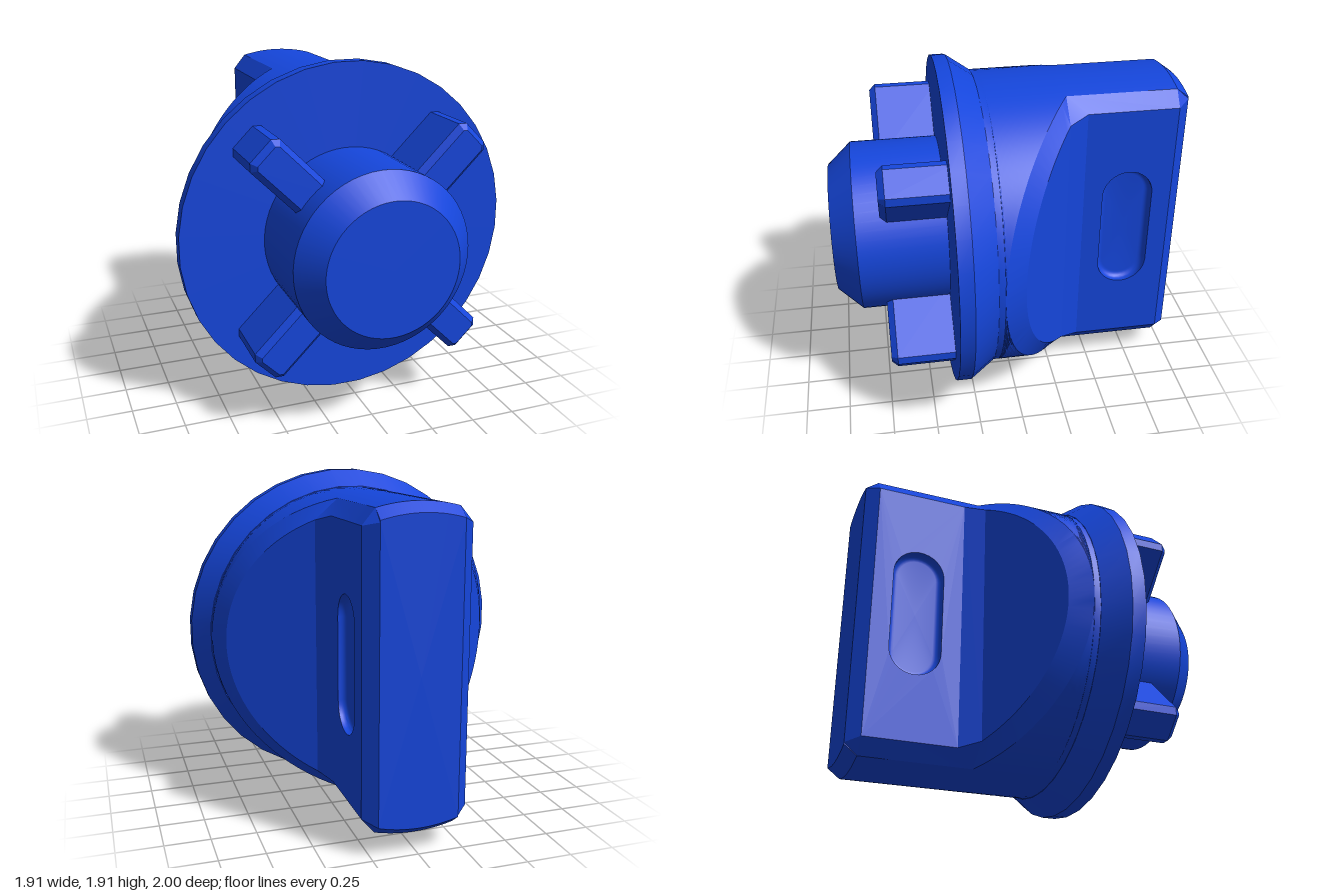
import * as THREE from 'three';
import { toCreasedNormals } from 'three/addons/utils/BufferGeometryUtils.js';

const material = new THREE.MeshStandardMaterial({ color: 0x1546dc });
const CENTRE_Y = 0.957;

function addMesh(parent, name, geometry) {
  const mesh = new THREE.Mesh(geometry, material);
  mesh.name = name;
  parent.add(mesh);
  return mesh;
}

// Skin over equal-length closed rings, with a fan on the last ring.
function loft(rings, skip = () => false) {
  const pos = [];
  const tri = (a, b, c) => {
    const area = b.clone().sub(a).cross(c.clone().sub(a)).length();
    if (area > 1e-7) for (const p of [a, b, c]) pos.push(p.x, p.y, p.z);
  };
  const n = rings[0].length;
  for (let i = 0; i < rings.length - 1; i++) {
    for (let j = 0; j < n; j++) {
      if (skip(i, j)) continue;
      const k = (j + 1) % n;
      const [a, b, c, d] = [rings[i][j], rings[i][k], rings[i + 1][j], rings[i + 1][k]];
      tri(a, c, b);
      tri(b, c, d);
    }
  }
  const last = rings[rings.length - 1];
  const mid = last.reduce((s, p) => s.add(p), new THREE.Vector3()).divideScalar(n);
  for (let j = 0; j < n; j++) tri(mid, last[(j + 1) % n], last[j]);
  const geometry = new THREE.BufferGeometry();
  geometry.setAttribute('position', new THREE.Float32BufferAttribute(pos, 3));
  return toCreasedNormals(geometry, 0.35);
}

// Turned part along z from [radius, z] points.
function turned(points, segments) {
  const lathe = new THREE.LatheGeometry(points.map(p => new THREE.Vector2(...p)), segments, Math.PI / segments);
  lathe.rotateX(Math.PI / 2);
  return toCreasedNormals(lathe, 0.35);
}

// Grip: a round body cut by two sloping sides that narrow to a flat handle.
const R = 0.862, RIM = 0.8, ARC = 28;

function gripRing(radius, xo, zo, xi, yi, zi) {
  const start = Math.acos(Math.min(1, xo / radius));
  const ring = [new THREE.Vector3(xi, -yi, zi), new THREE.Vector3(xi, yi, zi)];
  const arc = offset => {
    for (let k = 0; k <= ARC; k++) {
      const a = offset + start + (Math.PI - 2 * start) * k / ARC;
      ring.push(new THREE.Vector3(radius * Math.cos(a), radius * Math.sin(a), zo));
    }
  };
  arc(0);
  ring.push(new THREE.Vector3(-xi, yi, zi), new THREE.Vector3(-xi, -yi, zi));
  arc(Math.PI);
  return ring;
}

function gripGeometry() {
  const rings = [gripRing(R, R, 0.155, R, 0, 0.155)];
  const steps = 20;
  for (let i = 0; i <= steps; i++) {
    const outer = Math.acos(0.22 / R) * i / steps;
    const inner = Math.acos(0.35 / RIM) * i / steps;
    const xo = R * Math.cos(outer), xi = RIM * Math.cos(inner);
    const zo = THREE.MathUtils.mapLinear(xo, 0.22, R, -0.31, 0.12);
    const zi = THREE.MathUtils.mapLinear(xi, 0.35, RIM, -0.31, 0);
    rings.push(gripRing(R, xo, zo, xi, RIM * Math.sin(inner), zi));
  }
  rings.push(gripRing(R, 0.22, -0.31, 0.29, 0.75, -0.42));
  rings.push(gripRing(R, 0.22, -0.93, 0.29, 0.75, -0.93));
  rings.push(gripRing(0.81, 0.22, -1, 0.22, 0.77, -1));
  // The flat handle sides are left open for the panels with finger slots.
  const flat = rings.length - 3;
  return loft(rings, (i, j) => i === flat && (j === 0 || j === ARC + 3));
}

// Clockwise slot outline at a given inset and depth.
function slotRing(inset, depth) {
  const r = 0.145 - inset, straight = 0.23, ring = [];
  for (let half = 0; half < 2; half++) {
    for (let k = 0; k <= 16; k++) {
      const a = -Math.PI * (half + k / 16);
      const v = r * Math.sin(a) + (half ? straight : -straight);
      ring.push(new THREE.Vector3(0.675 + r * Math.cos(a), v, -depth));
    }
  }
  return ring;
}

function sidePanel() {
  const side = new THREE.Group();
  const outline = new THREE.Shape([[0.42, -0.75], [0.93, -0.75], [0.93, 0.75], [0.42, 0.75]]
    .map(p => new THREE.Vector2(...p)));
  const rim = slotRing(0, 0);
  outline.holes.push(new THREE.Path(rim.map(p => new THREE.Vector2(p.x, p.y))));
  const rings = [rim];
  for (let k = 0; k <= 6; k++) {
    const a = Math.PI / 2 * k / 6;
    rings.push(slotRing(0.035 * (1 - Math.cos(a)), 0.015 + 0.035 * Math.sin(a)));
  }
  const place = g => g.rotateY(Math.PI / 2).translate(0.29, 0, 0);
  addMesh(side, 'handleSide', place(new THREE.ShapeGeometry(outline)));
  addMesh(side, 'fingerSlot', place(loft(rings)));
  return side;
}

// Radial locking lug with a bevelled front and tip.
function lugGeometry() {
  const shape = new THREE.Shape([[0.4, -0.08], [0.795, -0.08], [0.81, -0.065], [0.81, 0.065], [0.795, 0.08], [0.4, 0.08]]
    .map(p => new THREE.Vector2(...p)));
  const geometry = new THREE.ExtrudeGeometry(shape, {
    depth: 0.36, bevelEnabled: true, bevelSize: 0.03, bevelThickness: 0.035, bevelSegments: 1,
  });
  return geometry.translate(0, 0, 0.335);
}

export function createModel() {
  const model = new THREE.Group();
  model.name = 'rotaryKnob';
  const knob = new THREE.Group();
  knob.name = 'knob';
  knob.position.y = CENTRE_Y;
  model.add(knob);

  addMesh(knob, 'grip', gripGeometry());
  for (let i = 0; i < 2; i++) {
    const side = sidePanel();
    side.name = i ? 'rightHandleSide' : 'leftHandleSide';
    side.rotation.z = Math.PI * i;
    knob.add(side);
  }

  addMesh(knob, 'flange', turned([[0.8, 0.155], [0.866, 0.155], [0.96, 0.29], [0.96, 0.37], [0, 0.37]], 36));
  addMesh(knob, 'shank', turned([[0.49, 0.36], [0.49, 0.865], [0.367, 1], [0, 1]], 60));

  const lug = lugGeometry();
  for (let i = 0; i < 4; i++) {
    addMesh(knob, 'lockingLug', lug).rotation.z = Math.PI / 4 + i * Math.PI / 2;
  }
  return model;
}
